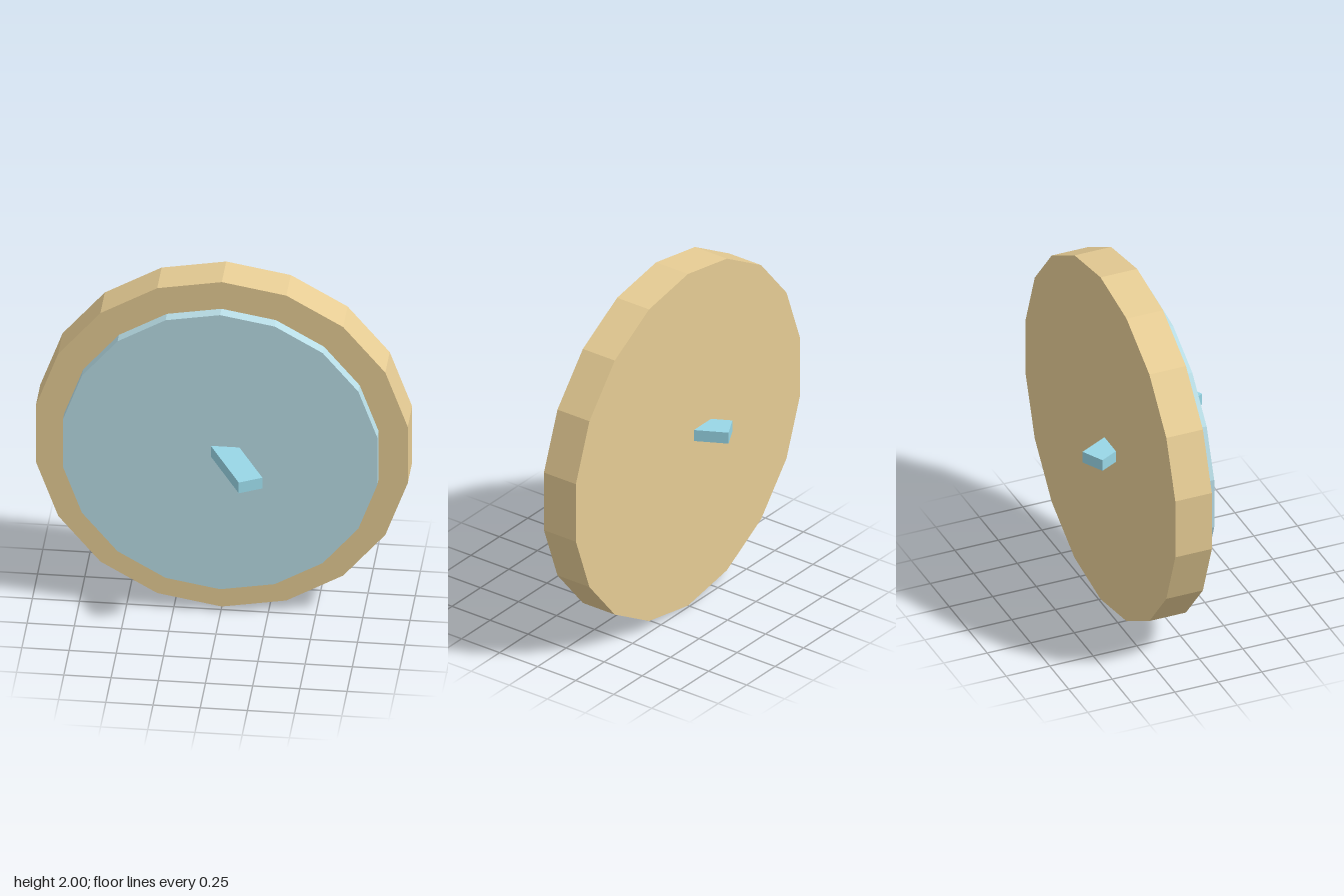
import * as THREE from 'three';

const material = (color) => new THREE.MeshStandardMaterial({ color, flatShading: true });

// Upright 18-sided disc facing +z, spanning zBack to zFront
function disc(name, radius, zBack, zFront, color) {
  const geometry = new THREE.CylinderGeometry(radius, radius, zFront - zBack, 18);
  geometry.rotateX(Math.PI / 2);
  const mesh = new THREE.Mesh(geometry, material(color));
  mesh.name = name;
  mesh.position.set(0, 1, (zBack + zFront) / 2);
  return mesh;
}

export function createModel() {
  const group = new THREE.Group();
  group.name = 'discAssembly';

  // Thick backing disc and the thinner face plate just in front of it
  group.add(disc('backingDisc', 1, -0.24, -0.03, 0xe6cc94));
  group.add(disc('facePlate', 0.845, -0.015, 0.05, 0xb8dde6));

  // Slanted bar passing through both discs
  const bar = new THREE.Mesh(new THREE.BoxGeometry(0.134, 0.066, 0.842), material(0x98d6e6));
  bar.name = 'crossBar';
  bar.position.set(0, 1.003, 0);
  bar.rotation.y = 0.487;
  group.add(bar);

  return group;
}
